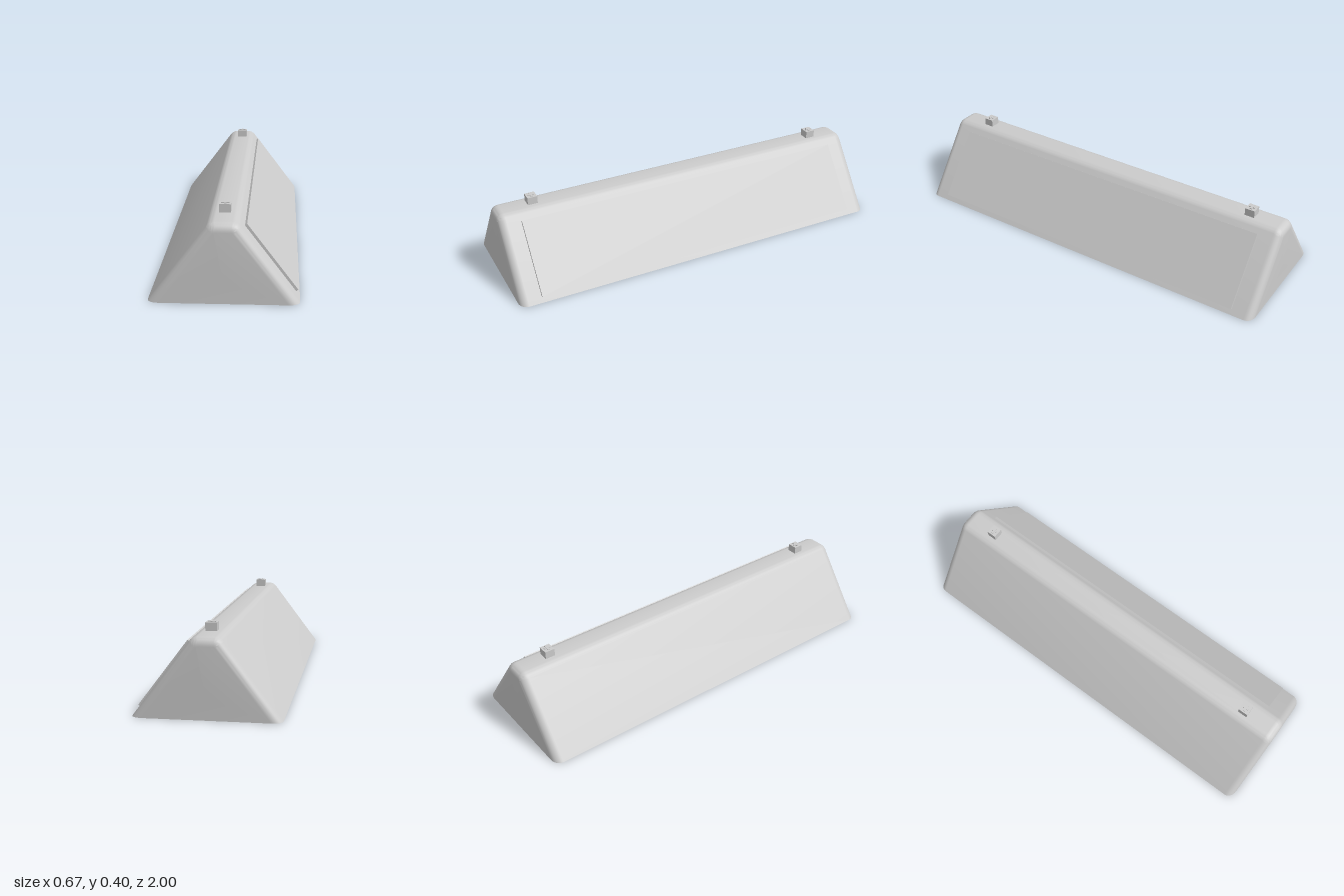
import * as THREE from 'three';
import { toCreasedNormals } from 'three/addons/utils/BufferGeometryUtils.js';

const HALF_BASE = 0.333, HEIGHT = 0.362, HALF_LENGTH = 1;
const FILLET = 0.055;  // rounding of the ridge
const EDGE = 0.04;     // rounding of the two ends
const TILT = 0.924;    // slope angle of the long sides
const NX = Math.sin(TILT), NY = Math.cos(TILT); // outward normal of the right slope

const material = new THREE.MeshStandardMaterial({ color: 0xcccccc });

function addMesh(parent, name, geometry, x = 0, y = 0, z = 0) {
  const mesh = new THREE.Mesh(geometry, material);
  mesh.name = name;
  mesh.position.set(x, y, z);
  parent.add(mesh);
  return mesh;
}

// Round-topped wedge outline, moved inwards by inset, counterclockwise from the right foot
function outline(inset) {
  const cy = HEIGHT - FILLET;
  const cx = HALF_BASE - (FILLET + cy * NY) / NX;
  const r = FILLET - inset;
  const foot = HALF_BASE - inset / NX;
  const steps = 8, right = [[foot, 0]];
  for (let i = 0; i <= steps; i++) {
    const a = TILT * (1 - i / steps);
    right.push([cx + r * Math.sin(a), cy + r * Math.cos(a)]);
  }
  return right.concat(right.map(([x, y]) => [-x, y]).reverse());
}

// Loft of outlines that shrink along a quarter circle at both ends
function bodyGeometry() {
  const sections = [], steps = 8;
  for (let i = 0; i <= steps; i++) {
    const a = (i / steps) * Math.PI / 2;
    sections.push([EDGE * (1 - Math.sin(a)), HALF_LENGTH - EDGE * (1 - Math.cos(a))]);
  }
  const rings = [
    ...sections.map(([inset, z]) => [inset, -z]),
    ...sections.slice().reverse(),
  ];
  const positions = [], index = [];
  const n = outline(0).length;
  for (const [inset, z] of rings) {
    for (const [x, y] of outline(inset)) positions.push(x, y, z);
  }
  for (let j = 0; j < rings.length - 1; j++) {
    for (let i = 0; i < n; i++) {
      const k = (i + 1) % n;
      const a = j * n + i, b = j * n + k, c = a + n, d = b + n;
      index.push(a, b, d, a, d, c);
    }
  }
  // Flat end faces
  const back = rings.length * n, front = back + 1, last = back - n;
  positions.push(0, 0.1, -HALF_LENGTH, 0, 0.1, HALF_LENGTH);
  for (let i = 0; i < n; i++) {
    const k = (i + 1) % n;
    index.push(back, k, i, front, last + i, last + k);
  }
  const geometry = new THREE.BufferGeometry();
  geometry.setAttribute('position', new THREE.Float32BufferAttribute(positions, 3));
  geometry.setIndex(index);
  return toCreasedNormals(geometry, 0.5);
}

export function createModel() {
  const model = new THREE.Group();
  model.name = 'wedgeBody';

  addMesh(model, 'body', bodyGeometry());

  // Raised panel lying on the right slope
  const yLow = 0.022, yHigh = 0.323, thickness = 0.012, sunk = 0.008;
  const yMid = (yLow + yHigh) / 2;
  const out = (thickness - sunk) / 2;
  const panel = addMesh(
    model, 'sidePanel',
    new THREE.BoxGeometry(thickness + sunk, (yHigh - yLow) / NX, 1.78),
    HALF_BASE - yMid * NY / NX + out * NX, yMid + out * NY, 0,
  );
  panel.rotation.z = Math.PI / 2 - TILT;

  // Small square studs on the ridge, each with a low raised cross
  for (const [name, x, z] of [['frontStud', -0.001, 0.806], ['backStud', 0.004, -0.812]]) {
    const stud = new THREE.Group();
    stud.name = name;
    stud.position.set(x, 0, z);
    addMesh(stud, 'studBlock', new THREE.BoxGeometry(0.052, 0.05, 0.05), 0, 0.375, 0);
    addMesh(stud, 'studRidge', new THREE.BoxGeometry(0.036, 0.006, 0.01), 0, 0.401, 0);
    addMesh(stud, 'studCrossRidge', new THREE.BoxGeometry(0.01, 0.006, 0.03), 0, 0.401, 0);
    model.add(stud);
  }
  return model;
}
